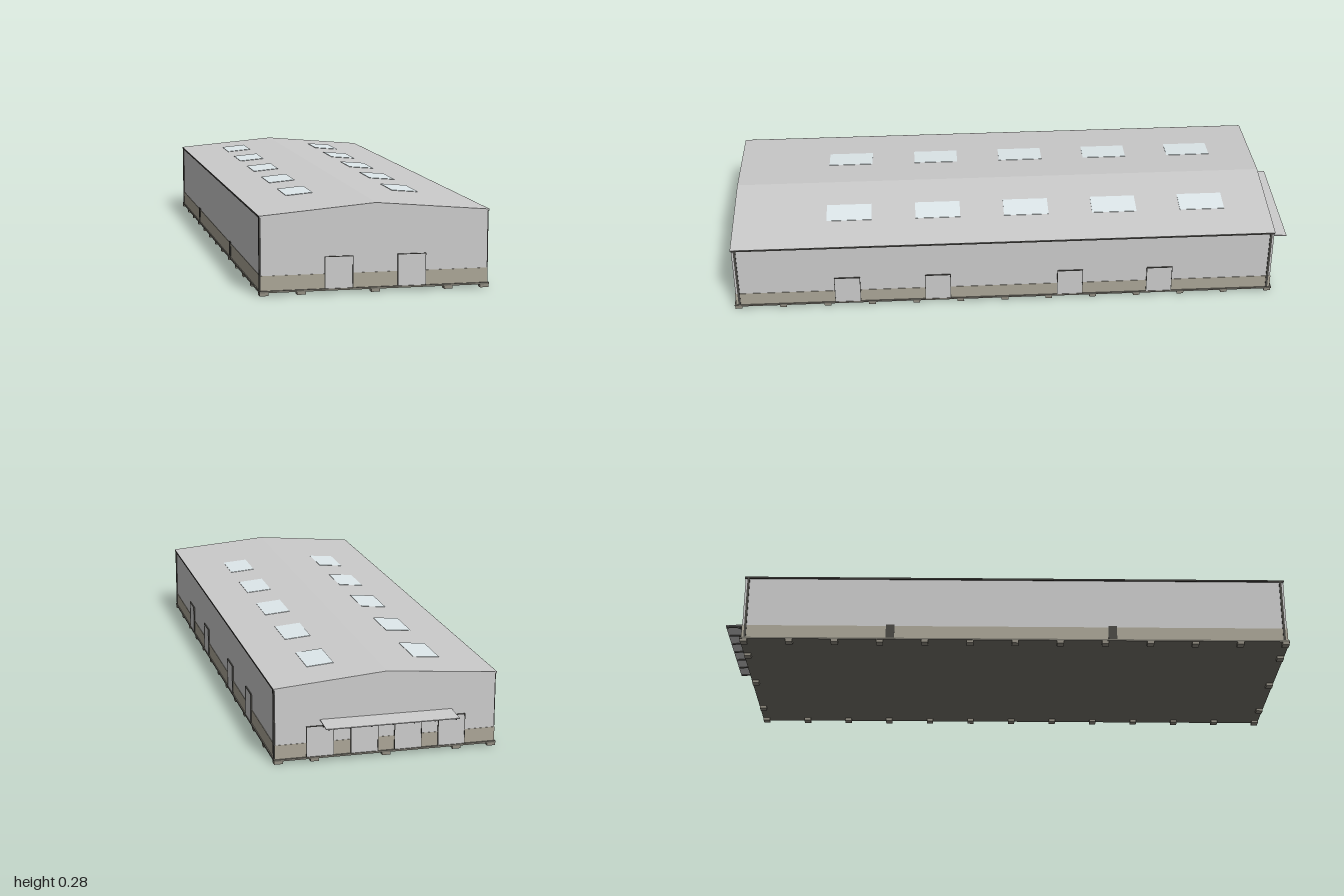
import * as THREE from 'three';

const mat = (color, side = THREE.FrontSide) => new THREE.MeshStandardMaterial({ color, side, flatShading: true });

export function createModel() {
  const root = new THREE.Group();
  const grey = mat(0xcccccc), tan = mat(0xaba697), dark = mat(0x4a4945);
  const glass = mat(0xdfe9ec), concrete = mat(0x928e82), underside = mat(0x78756c);

  const box = (name, material, w, h, d, x, y, z, parent = root) => {
    const m = new THREE.Mesh(new THREE.BoxGeometry(w, h, d), material);
    m.name = name;
    m.position.set(x, y, z);
    parent.add(m);
    return m;
  };
  // Extrude an (x, y) outline along z between z0 and z1
  const extrude = (name, material, pts, z0, z1) => {
    const shape = new THREE.Shape(pts.map(p => new THREE.Vector2(...p)));
    const m = new THREE.Mesh(new THREE.ExtrudeGeometry(shape, { depth: z1 - z0, bevelEnabled: false }), material);
    m.name = name;
    m.position.z = z0;
    root.add(m);
  };

  const W = 0.367, zF = 0.993, zB = -0.917, zMid = (zF + zB) / 2, L = zF - zB;
  const eave = 0.249, ridge = 0.281, slope = Math.atan2(ridge - eave, W);

  // Hall with gabled ends, and the two roof slopes as one folded sheet
  extrude('hallWalls', grey, [[-W, 0.016], [W, 0.016], [W, eave], [0, ridge], [-W, eave]], zB, zF);
  extrude('roof', grey, [[-0.371, 0.248], [0, 0.28], [0.371, 0.248], [0.371, 0.252], [0, 0.284], [-0.371, 0.252]], zB - 0.003, zF + 0.003);

  // Floor slab, slab edge and coloured plinth band
  box('floorSlab', underside, 0.744, 0.006, L + 0.014, 0, 0.013, zMid);
  box('plinthBand', tan, 2 * W + 0.003, 0.047, L + 0.003, 0, 0.0395, zMid);

  // Footings around the perimeter
  const foot = (x, z) => box('footing', concrete, 0.028, 0.012, 0.024, x, 0.006, z);
  for (let i = 0; i < 13; i++) {
    const z = 0.986 - i * (1.896 / 12);
    for (const x of [-0.357, 0.357]) foot(x, z);
    if (i === 0 || i === 12) for (const x of [-0.238, 0, 0.238]) foot(x, z);
  }

  // Eave gutters and corner downpipes
  for (const s of [-1, 1]) {
    box('gutter', dark, 0.005, 0.006, L, s * 0.3695, 0.249, zMid);
    for (const z of [0.982, -0.906]) box('downpipe', dark, 0.004, 0.232, 0.008, s * 0.369, 0.132, z);
  }

  // Skylights lying on both slopes
  for (const s of [-1, 1]) for (let i = 0; i < 5; i++) {
    const y = 0.284 - 0.18 * Math.tan(slope) + 0.0006;
    box('skylight', glass, 0.09, 0.002, 0.16, s * 0.18, y, -0.68 + i * 0.3163).rotation.z = -s * slope;
  }

  // Door leaf with a thin dark frame, facing local +z
  const door = (x, z, angle, w = 0.09, h = 0.101) => {
    const g = new THREE.Group();
    g.name = 'door';
    box('doorLeaf', grey, w, h, 0.005, 0, h / 2, 0, g);
    for (const s of [-1, 1]) box('doorJamb', dark, 0.002, h, 0.007, s * w / 2, h / 2, 0, g);
    box('doorHead', dark, w + 0.002, 0.002, 0.007, 0, h, 0, g);
    g.position.set(x, 0.016, z);
    g.rotation.y = angle;
    root.add(g);
  };
  for (const x of [-0.118, 0.118]) door(x, zF + 0.001, 0);
  for (const x of [-0.22, -0.073, 0.073, 0.22]) door(x, zB - 0.001, Math.PI);
  for (const z of [0.597, 0.276, -0.195, -0.515]) door(W + 0.001, z, Math.PI / 2);

  // Small service hatches low on the right wall
  for (const z of [0.38, -0.4]) box('serviceHatch', dark, 0.004, 0.05, 0.03, -W - 0.001, 0.043, z);

  // Rear canopy sheet on a row of brackets
  const canopy = new THREE.Group();
  canopy.name = 'rearCanopy';
  box('canopySheet', grey, 0.44, 0.003, 0.083, 0, 0.1345, -0.9585, canopy).rotation.x = -0.05;
  for (let i = 0; i < 7; i++) {
    const x = -0.21 + i * 0.07;
    box('canopyArm', dark, 0.004, 0.004, 0.078, x, 0.131, -0.957, canopy).rotation.x = -0.05;
    box('canopyStrut', dark, 0.003, 0.003, 0.05, x, 0.121, -0.938, canopy).rotation.x = 0.4;
  }
  root.add(canopy);

  return root;
}
